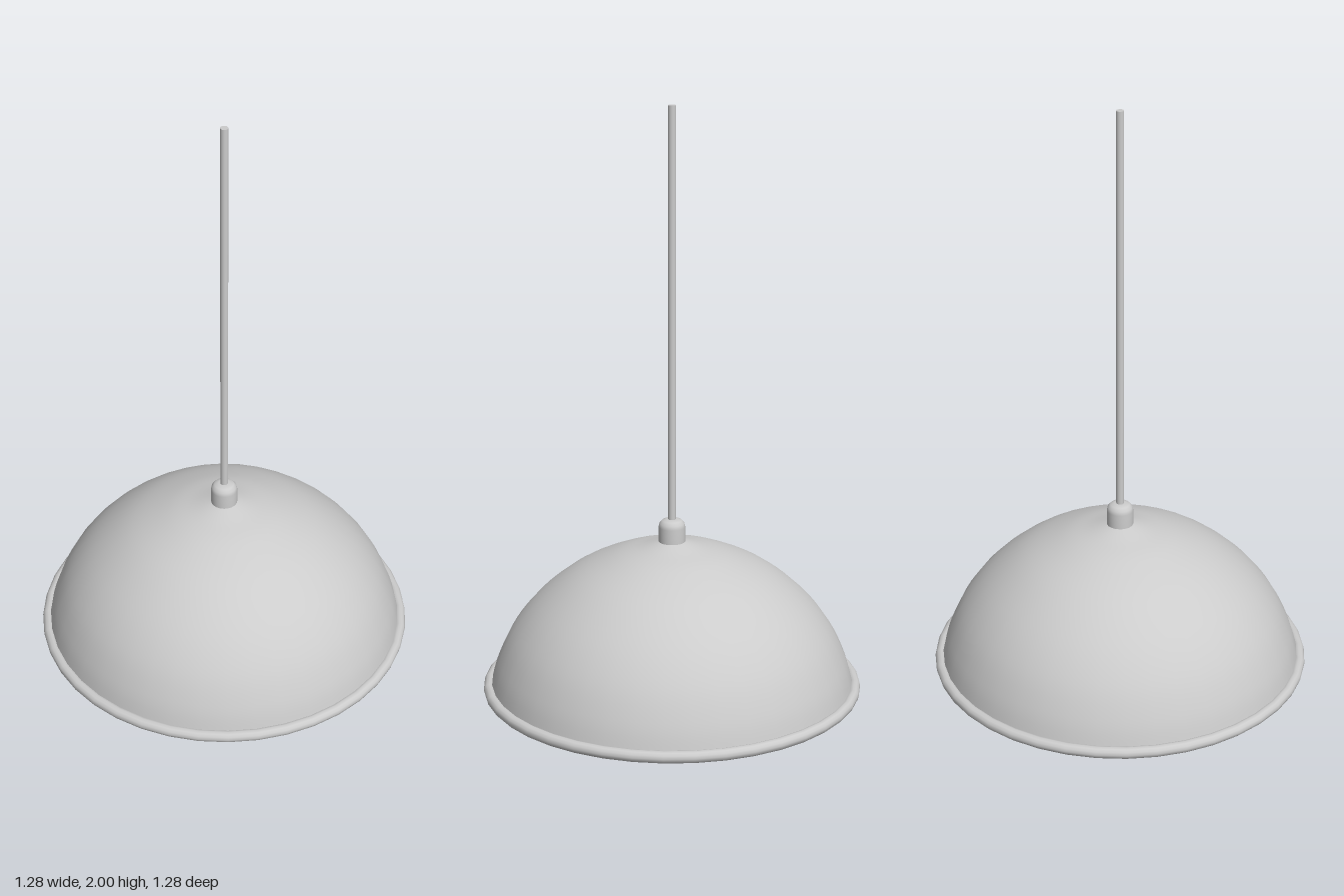
import * as THREE from 'three';

const SEGMENTS = 40;

export function createModel() {
  const group = new THREE.Group();
  const solid = new THREE.MeshStandardMaterial({ color: 0xcccccc });
  const thin = new THREE.MeshStandardMaterial({ color: 0xcccccc, side: THREE.DoubleSide });

  const add = (name, geometry, y = 0, material = solid) => {
    const mesh = new THREE.Mesh(geometry, material);
    mesh.name = name;
    mesh.position.y = y;
    group.add(mesh);
    return mesh;
  };
  const points = (list) => list.map(([r, y]) => new THREE.Vector2(r, y));

  // Open domed shade, smoothed through a few profile points
  const dome = new THREE.SplineCurve(points([
    [0.618, 0.02], [0.593, 0.11], [0.54, 0.22], [0.455, 0.325],
    [0.335, 0.42], [0.2, 0.484], [0.1, 0.513], [0.03, 0.534],
  ]));
  add('shade', new THREE.LatheGeometry(dome.getPoints(32), SEGMENTS), 0, thin);

  // Rolled rim around the opening
  const rim = new THREE.TorusGeometry(0.622, 0.02, 12, SEGMENTS).rotateX(Math.PI / 2);
  add('rim', rim, 0.02);

  // Cap with a rounded shoulder where the rod enters the shade
  const cap = points([
    [0, 0.52], [0.045, 0.52], [0.045, 0.52], [0.045, 0.58],
    [0.042, 0.593], [0.033, 0.603], [0.019, 0.607], [0, 0.607],
  ]);
  add('cap', new THREE.LatheGeometry(cap, 32));

  // Suspension rod
  add('rod', new THREE.CylinderGeometry(0.013, 0.013, 1.4, 16), 1.3);

  // Bulb and its socket under the dome
  add('bulb', new THREE.SphereGeometry(0.19, 32, 24), 0.275);
  add('socket', new THREE.CylinderGeometry(0.045, 0.045, 0.09, 24), 0.475);

  return group;
}
